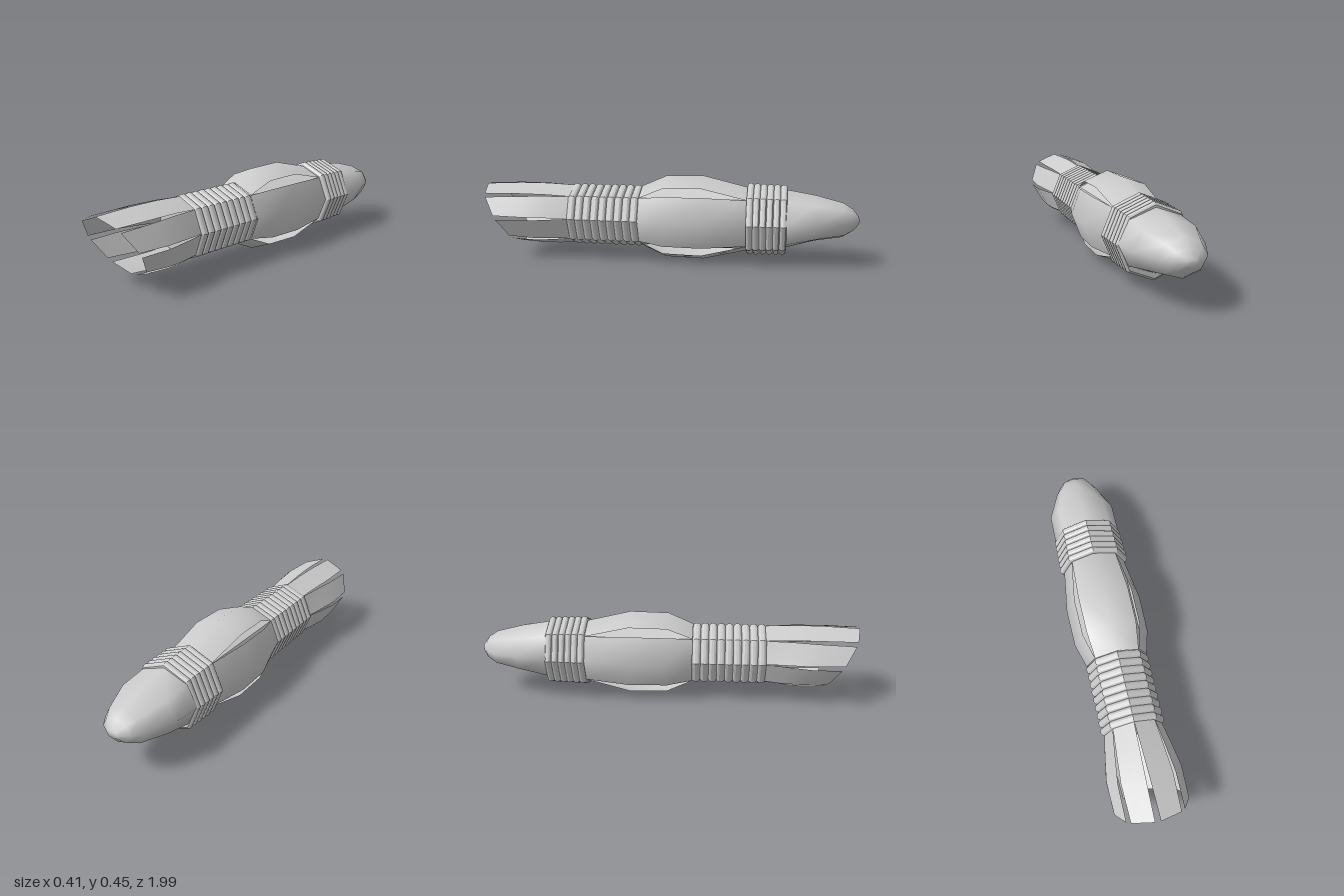
import * as THREE from 'three';

const CY = 0.21; // height of the long axis
const smooth = new THREE.MeshStandardMaterial({ color: 0xcccccc, side: THREE.DoubleSide });
const flat = new THREE.MeshStandardMaterial({ color: 0xcccccc, side: THREE.DoubleSide, flatShading: true });

// Skin a list of equal-length point rows; closed rows wrap round
function skin(rows, closed) {
  const n = rows[0].length, index = [];
  for (let i = 0; i < rows.length - 1; i++) {
    for (let j = 0; j < (closed ? n : n - 1); j++) {
      const k = (j + 1) % n, a = i * n + j, b = i * n + k;
      index.push(a, b, a + n, b, b + n, a + n);
    }
  }
  const geo = new THREE.BufferGeometry();
  geo.setAttribute('position', new THREE.Float32BufferAttribute(rows.flat(2), 3));
  geo.setIndex(index);
  geo.computeVertexNormals();
  return geo;
}

// Octagonal section with corners on the axes
function octagon(z, rx, ry = rx, cy = CY) {
  return Array.from({ length: 8 }, (_, i) => {
    const a = (i * Math.PI) / 4;
    return [Math.cos(a) * rx, cy + Math.sin(a) * ry, z];
  });
}

// Stack of rounded octagonal ribs, closed at both ends
function ribs(z0, z1, count, r0, r1, depth) {
  const step = (z1 - z0) / count;
  const rows = [octagon(z0, 0)];
  for (let i = 0; i < count; i++) {
    const r = r0 + ((r1 - r0) * (i + 0.5)) / count;
    for (const [t, d] of [[0, 1], [0.15, 0.3], [0.35, 0], [0.65, 0], [0.85, 0.3]]) {
      rows.push(octagon(z0 + (i + t) * step, r - d * depth));
    }
  }
  rows.push(octagon(z1, r1 - depth), octagon(z1, 0));
  return skin(rows, true);
}

// Panel over two octagon sides, bulging outward; dir is the facing angle
function panel(dir, bulge, width) {
  const c = Math.cos(dir), s = Math.sin(dir);
  const rows = [[-0.43, 0.17, 0], [-0.2, 0.17, 1], [0, 0.168, 0.95], [0.13, 0.163, 0]].map(([z, r, t]) => {
    const half = r * Math.SQRT1_2 + t * width;
    const out = r + t * bulge, edge = r * Math.SQRT1_2 + t * bulge;
    return [[edge, -half], [out, 0], [edge, half]].map(([o, w]) => [c * o - s * w, CY + s * o + c * w, z]);
  });
  return skin(rows, false);
}

// Strip growing from one octagon side, cut on a slant at its free end
function strip(i) {
  const a0 = (i * Math.PI) / 4, a1 = a0 + Math.PI / 4;
  const rows = [[0, 0, 0.15, 0.158], [0.3, 0.04, 0.175, 0.168], [0.6, 0.07, 0.197, 0.17], [1, 0.1, 0.195, 0.163]]
    .map(([t, inset, rx, ry]) => [inset, 0.5, 1 - inset].map((u) => {
      const x = THREE.MathUtils.lerp(Math.cos(a0), Math.cos(a1), u) * rx;
      const y = CY + THREE.MathUtils.lerp(Math.sin(a0), Math.sin(a1), u) * ry;
      const end = 0.8 + (y - 0.05) * 0.61;
      return [x, y, 0.5 + t * (end - 0.5)];
    }));
  return skin(rows, false);
}

export function createModel() {
  const model = new THREE.Group();
  const add = (name, geo, mat, parent = model) => {
    const mesh = new THREE.Mesh(geo, mat);
    mesh.name = name;
    parent.add(mesh);
  };

  // Rounded nose at the back
  add('nose', skin([
    octagon(-1, 0, 0, 0.22), octagon(-1, 0.03, 0.02, 0.22), octagon(-0.97, 0.08, 0.058, 0.222),
    octagon(-0.92, 0.115, 0.09, 0.221), octagon(-0.78, 0.178, 0.12, 0.227), octagon(-0.62, 0.18, 0.157, 0.217),
  ], true), smooth);

  // Ribbed collars
  add('rearRibs', ribs(-0.635, -0.43, 6, 0.185, 0.192, 0.012), flat);
  add('frontRibs', ribs(0.13, 0.51, 9, 0.167, 0.167, 0.014), flat);

  // Core and the four bulging panels around it
  add('core', skin([octagon(-0.43, 0.163), octagon(0.13, 0.157)], true), flat);
  const panels = new THREE.Group();
  panels.name = 'bodyPanels';
  for (let i = 0; i < 4; i++) {
    add('bodyPanel', panel((i * Math.PI) / 2, i % 2 ? 0.055 : 0.033, 0.012), smooth, panels);
  }
  model.add(panels);

  // Eight flaring strips at the open front
  const strips = new THREE.Group();
  strips.name = 'frontStrips';
  for (let i = 0; i < 8; i++) add('frontStrip', strip(i), smooth, strips);
  model.add(strips);

  return model;
}
